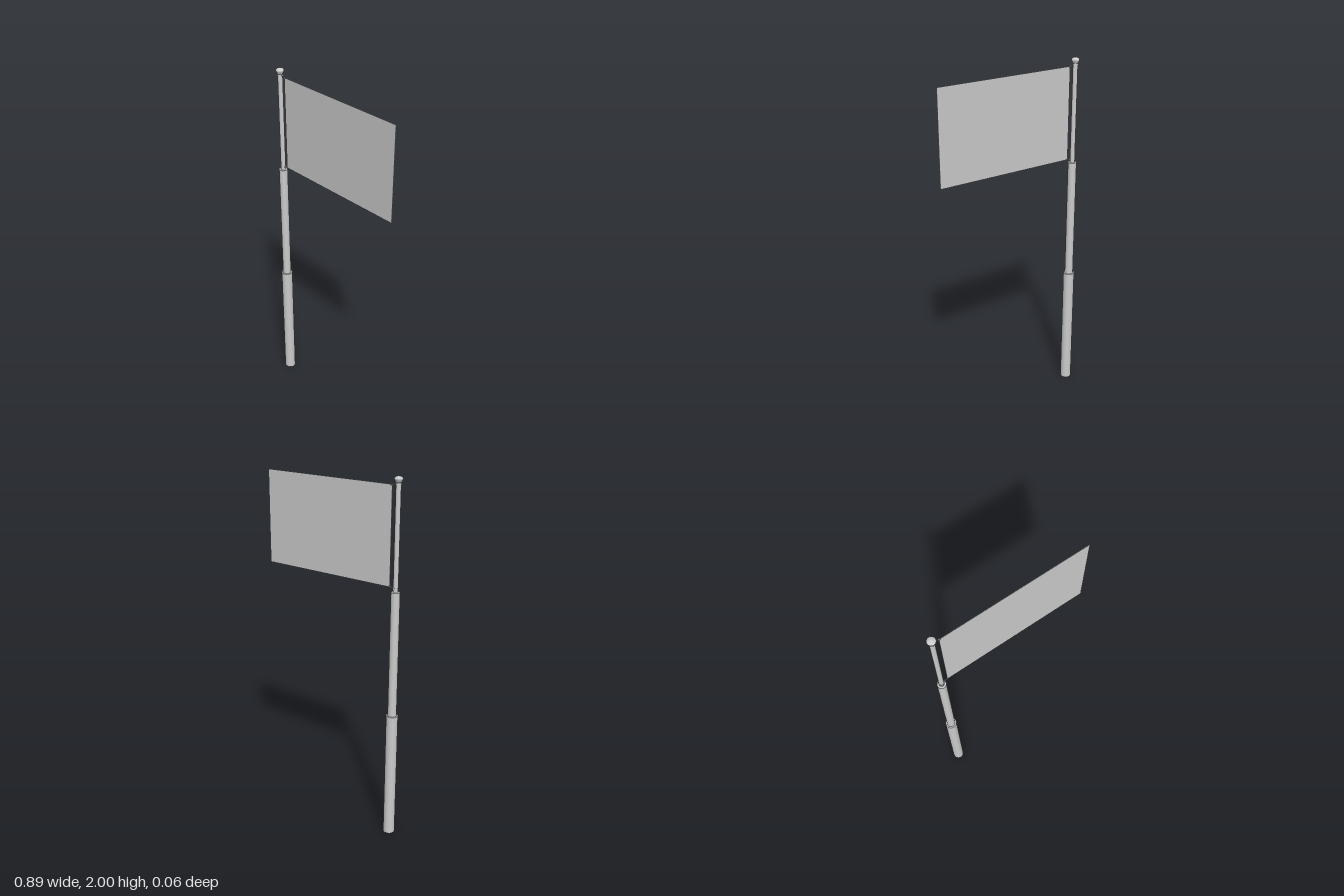
import * as THREE from 'three';

export function createModel() {
  const group = new THREE.Group();
  const material = new THREE.MeshStandardMaterial({ color: 0xcccccc });
  const poleX = -0.414;

  function add(name, geometry, x, y, z = 0) {
    const mesh = new THREE.Mesh(geometry, material);
    mesh.name = name;
    mesh.position.set(x, y, z);
    group.add(mesh);
    return mesh;
  }

  // Three telescoping pole sections: name, radius, bottom, top
  const sections = [
    ['lowerPole', 0.032, 0, 0.723],
    ['middlePole', 0.024, 0.72, 1.414],
    ['upperPole', 0.0135, 1.41, 1.975],
  ];
  for (const [name, r, y0, y1] of sections) {
    add(name, new THREE.CylinderGeometry(r, r, y1 - y0, 32), poleX, (y0 + y1) / 2);
  }

  // Flattened ball with a short neck on top of the pole
  const finial = [[0.0135, 1.968], [0.016, 1.97], [0.018, 1.974]];
  for (let i = 0; i <= 10; i++) {
    const a = -0.4 + (i / 10) * (Math.PI / 2 + 0.4);
    finial.push([Math.max(0, 0.0225 * Math.cos(a)), 1.986 + 0.014 * Math.sin(a)]);
  }
  add('finial', new THREE.LatheGeometry(finial.map(([x, y]) => new THREE.Vector2(x, y)), 32), poleX, 0);

  // Collar, eyelet and link tying each flag corner to the pole
  for (const [label, y, cornerY] of [['upper', 1.962, 1.952], ['lower', 1.432, 1.439]]) {
    add(label + 'Collar', new THREE.CylinderGeometry(0.0155, 0.0155, 0.008, 24), poleX, y);
    const eyelet = add(label + 'Eyelet', new THREE.TorusGeometry(0.005, 0.0015, 8, 16), -0.394, y);
    eyelet.rotation.x = Math.PI / 2;
    const path = new THREE.LineCurve3(
      new THREE.Vector3(-0.391, y, 0), new THREE.Vector3(-0.376, cornerY, 0));
    add(label + 'Link', new THREE.TubeGeometry(path, 4, 0.002, 8), 0, 0);
    add(label + 'FlagRing', new THREE.TorusGeometry(0.0045, 0.0015, 8, 16), -0.377, cornerY)
      .rotation.x = Math.PI / 2;
  }

  // Flat, thin flag
  add('flag', new THREE.BoxGeometry(0.822, 0.521, 0.002), 0.033, 1.6955);

  return group;
}
